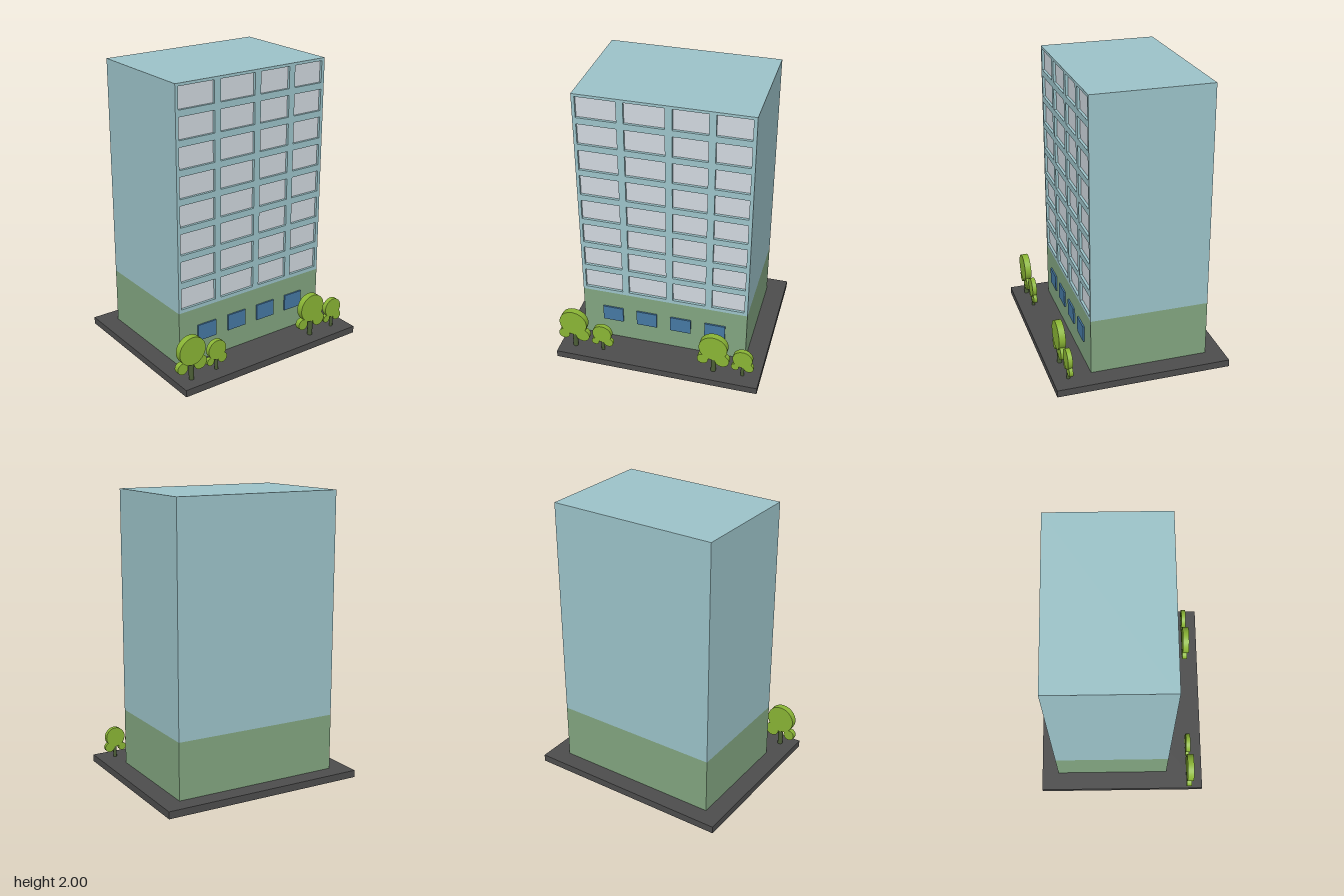
import * as THREE from 'three';

const mat = (color) => new THREE.MeshStandardMaterial({ color });
const wallMat = mat(0x9cc3c9), podiumMat = mat(0x82a580), slabMat = mat(0x4d4d4d);
const paneMat = mat(0xd0d7de), blueMat = mat(0x4578a3);
const leafMat = mat(0x8ab535), trunkMat = mat(0x4c5e36);

function add(parent, name, geometry, material) {
  const mesh = new THREE.Mesh(geometry, material);
  mesh.name = name;
  parent.add(mesh);
  return mesh;
}

// Box given by its minimum and maximum on each axis
function box(parent, name, material, x0, x1, y0, y1, z0, z1) {
  const mesh = add(parent, name, new THREE.BoxGeometry(x1 - x0, y1 - y0, z1 - z0), material);
  mesh.position.set((x0 + x1) / 2, (y0 + y1) / 2, (z0 + z1) / 2);
  return mesh;
}

function rectangle(PathType, x0, x1, y0, y1) {
  const path = new PathType();
  path.moveTo(x0, y0);
  path.lineTo(x1, y0);
  path.lineTo(x1, y1);
  path.lineTo(x0, y1);
  path.closePath();
  return path;
}

// Flat tree: a round crown disc, two smaller discs and a trunk
function tree(x, scale) {
  const group = new THREE.Group();
  group.name = 'tree';
  const discs = [
    ['crown', 0, 0.216, 0.101, 0, 0.047],
    ['lowerLeafRight', -0.074, 0.104, 0.04, 0.002, 0.04],
    ['lowerLeafLeft', 0.064, 0.113, 0.051, 0.002, 0.04],
  ];
  for (const [name, dx, dy, r, z0, z1] of discs) {
    const disc = add(group, name, new THREE.CylinderGeometry(r, r, z1 - z0, 32), leafMat);
    disc.rotation.x = Math.PI / 2;
    disc.position.set(dx, dy, (z0 + z1) / 2);
  }
  const trunk = add(group, 'trunk', new THREE.CylinderGeometry(0.018, 0.018, 0.17, 16), trunkMat);
  trunk.position.set(0.002, 0.085, 0.023);
  group.position.set(x, 0.05, 0.485);
  group.scale.setScalar(scale);
  return group;
}

export function createModel() {
  const model = new THREE.Group();
  const L = -0.6, R = 0.592, back = -0.488, front = 0.339;
  const ground = 0.05, podiumTop = 0.445, top = 2, recess = 0.02;

  box(model, 'groundSlab', slabMat, -0.73, 0.73, 0, ground, -0.61, 0.61);
  box(model, 'podium', podiumMat, L, R, ground, podiumTop, back, front);
  box(model, 'tower', wallMat, L, R, podiumTop, top, back, front - recess);

  // Front wall with recessed windows
  const facade = rectangle(THREE.Shape, L, R, podiumTop, top);
  const columns = [[-0.578, -0.307], [-0.26, 0.01], [0.058, 0.292], [0.339, 0.568]];
  const windows = new THREE.Group();
  windows.name = 'towerWindows';
  model.add(windows);
  for (let row = 0; row < 8; row++) {
    const y0 = 0.471 + row * 0.1944, y1 = y0 + 0.149;
    for (const [x0, x1] of columns) {
      facade.holes.push(rectangle(THREE.Path, x0, x1, y0, y1));
      box(windows, 'windowPane', paneMat, x0, x1, y0, y1, front - recess - 0.002, front - recess + 0.002);
    }
  }
  const wall = add(model, 'frontWall',
    new THREE.ExtrudeGeometry(facade, { depth: recess, bevelEnabled: false }), wallMat);
  wall.position.z = front - recess;

  // Raised ground-floor windows
  for (let i = 0; i < 4; i++) {
    const x0 = -0.455 + i * 0.249;
    box(model, 'groundFloorWindow', blueMat, x0, x0 + 0.148, 0.203, 0.319, front - 0.01, front + 0.011);
  }

  // Trees in two pairs, each a large and a small one
  for (const x of [-0.623, 0.397]) {
    model.add(tree(x, 1), tree(x + 0.207, 0.695));
  }
  return model;
}
